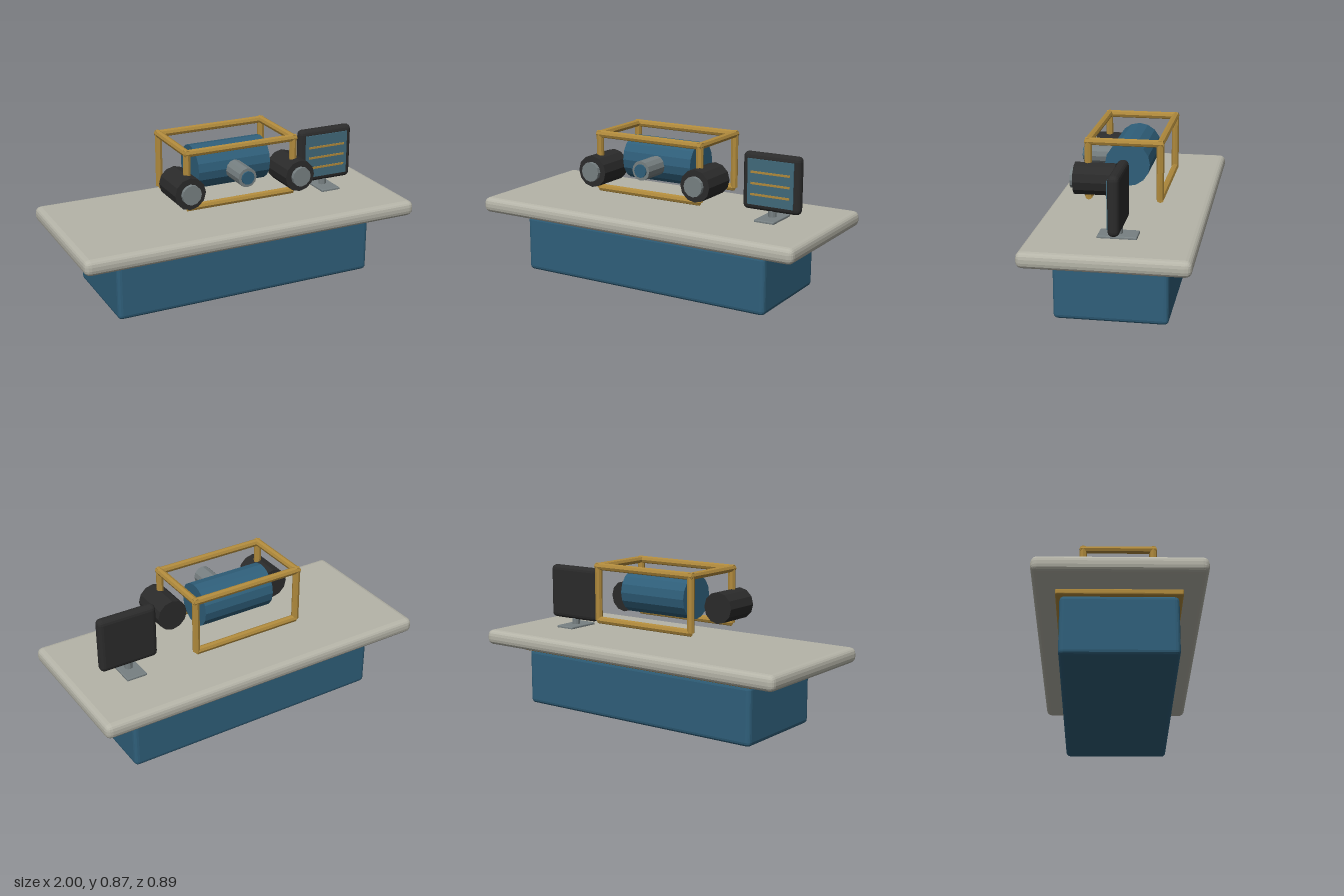
import * as THREE from 'three';
import { RoundedBoxGeometry } from 'three/addons/geometries/RoundedBoxGeometry.js';

const paint = (name, color) => {
  const m = new THREE.MeshStandardMaterial({ color, flatShading: true });
  m.name = name;
  return m;
};

export function createModel() {
  const model = new THREE.Group();
  model.name = 'equipmentDesk';

  const blue = paint('deep blue', 0x2f5f7a);
  const stone = paint('warm grey', 0xb5b4a8);
  const brass = paint('brass', 0xb08a3c);
  const black = paint('charcoal', 0x2b2b2b);
  const steel = paint('steel grey', 0x778082);
  const glass = paint('screen teal', 0x41697a);

  const add = (name, geometry, material, x, y, z, parent = model) => {
    const mesh = new THREE.Mesh(geometry, material);
    mesh.name = name;
    mesh.position.set(x, y, z);
    parent.add(mesh);
    return mesh;
  };
  const roundBox = (w, h, d, r) => new RoundedBoxGeometry(w, h, d, 2, r);
  // Cylinder lying along x, y or z
  const rod = (axis, radius, length, sides) => {
    const g = new THREE.CylinderGeometry(radius, radius, length, sides);
    if (axis === 'x') g.rotateZ(Math.PI / 2);
    if (axis === 'z') g.rotateX(Math.PI / 2);
    return g;
  };

  // Desk: cabinet, trim band and worktop
  add('cabinet', roundBox(1.56, 0.33, 0.612, 0.025), blue, 0, 0.165, 0);
  add('trimBand', roundBox(1.6, 0.036, 0.655, 0.01), brass, 0, 0.341, 0);
  add('worktop', roundBox(2, 0.088, 0.89, 0.034), stone, 0, 0.397, 0);

  // Central drum with its front nozzle
  add('drum', rod('x', 0.125, 0.44, 16), blue, 0, 0.7, 0);
  add('nozzle', rod('z', 0.055, 0.19, 12), steel, 0, 0.69, 0.185);
  add('nozzleLens', rod('z', 0.038, 0.012, 12), blue, 0, 0.69, 0.282);

  // Side lamps
  for (const side of [-1, 1]) {
    add('lampBody', rod('z', 0.09, 0.225, 12), black, side * 0.335, 0.644, 0.1555);
    add('lampCap', rod('z', 0.056, 0.03, 12), steel, side * 0.335, 0.644, 0.275);
  }

  // Tubular cage around the drum
  const cage = new THREE.Group();
  cage.name = 'cage';
  model.add(cage);
  const cx = 0.325, cz = 0.197, top = 0.85, bottom = 0.54, r = 0.021;
  for (const s of [-1, 1]) {
    add('topRail', rod('x', r, 2 * cx + 0.03, 8), brass, 0, top, s * cz, cage);
    add('bottomRail', rod('x', r, 2 * cx, 8), brass, 0, bottom, s * cz, cage);
    add('sideRail', rod('z', r, 2 * cz + 0.03, 8), brass, s * cx, top, 0, cage);
    for (const t of [-1, 1]) {
      add('cagePost', rod('y', r, top - bottom, 8), brass, s * cx, (top + bottom) / 2, t * cz, cage);
    }
  }

  // Monitor on its stand
  const monitor = new THREE.Group();
  monitor.name = 'monitor';
  monitor.position.set(0.656, 0, -0.025);
  model.add(monitor);
  add('standFoot', roundBox(0.12, 0.018, 0.21, 0.006), steel, 0, 0.445, 0, monitor);
  add('standNeck', rod('y', 0.023, 0.07, 10), steel, 0, 0.475, 0, monitor);
  add('monitorCase', roundBox(0.346, 0.322, 0.062, 0.028), black, 0, 0.645, 0, monitor);
  add('screen', new THREE.BoxGeometry(0.276, 0.256, 0.008), glass, 0, 0.645, 0.033, monitor);
  for (const y of [0.575, 0.637, 0.7]) {
    add('screenLine', new THREE.BoxGeometry(0.235, 0.012, 0.006), brass, 0, y, 0.038, monitor);
  }

  return model;
}
